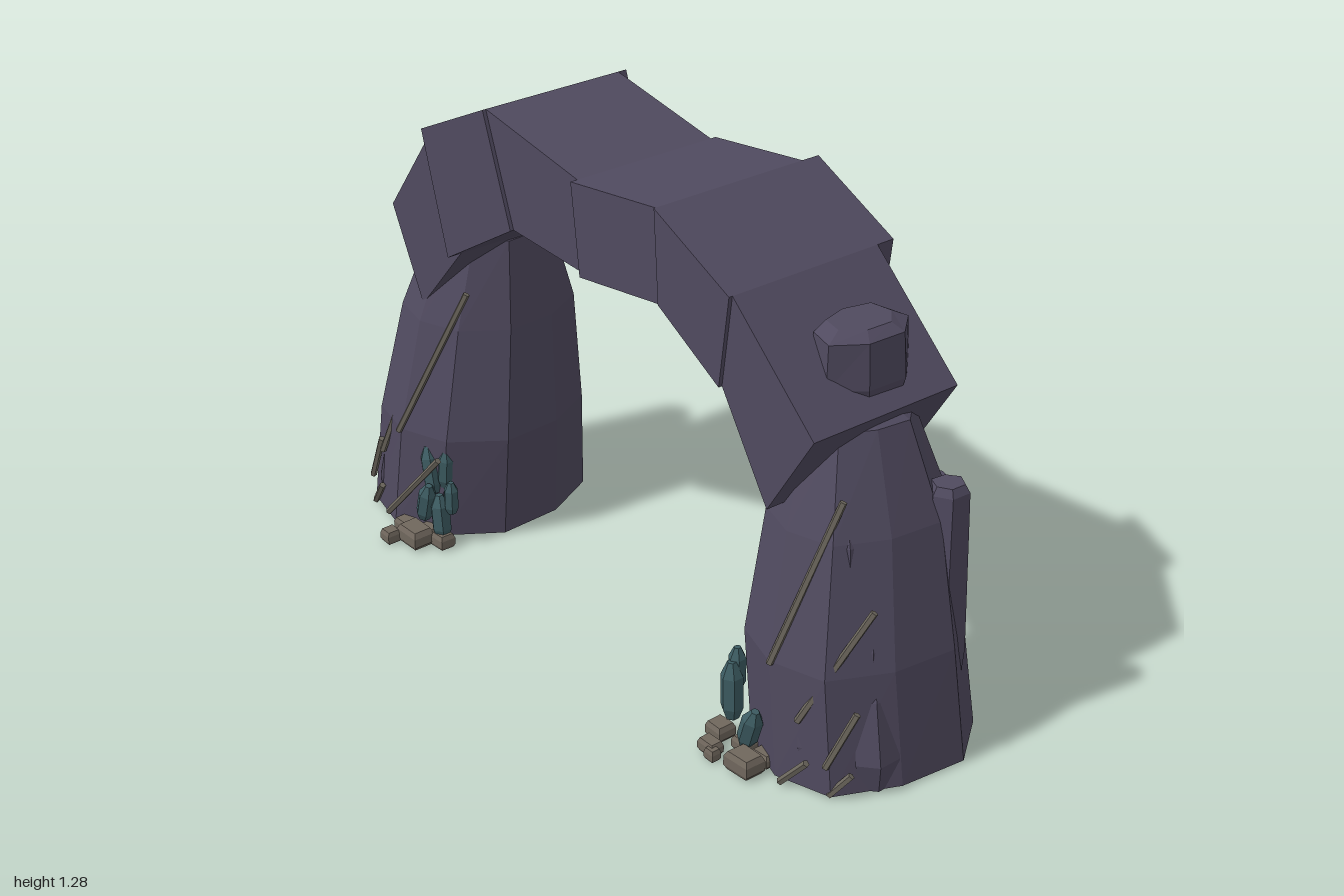
import * as THREE from 'three';

const mat = (name, color) => {
  const m = new THREE.MeshStandardMaterial({ color, flatShading: true });
  m.name = name;
  return m;
};

// Faceted column through rings [cx, y, cz, rx, rz], with rough radius per side
function loft(rings, sides, rough = 0, seed = 1) {
  const pos = [];
  const k = Array.from({ length: sides }, (_, i) => 1 - rough * (0.5 + 0.5 * Math.sin(seed + i * 2.4)));
  const pt = (r, i) => {
    const j = i % sides, a = ((j + 0.5) / sides) * Math.PI * 2;
    return [r[0] + Math.cos(a) * r[3] * k[j], r[1], r[2] + Math.sin(a) * r[4] * k[j]];
  };
  const first = rings[0], last = rings[rings.length - 1];
  for (let i = 0; i < sides; i++) {
    for (let n = 0; n < rings.length - 1; n++) {
      const a = pt(rings[n], i), b = pt(rings[n], i + 1);
      const c = pt(rings[n + 1], i), d = pt(rings[n + 1], i + 1);
      pos.push(...a, ...c, ...b, ...b, ...c, ...d);
    }
    pos.push(first[0], first[1], first[2], ...pt(first, i), ...pt(first, i + 1));
    pos.push(last[0], last[1], last[2], ...pt(last, i + 1), ...pt(last, i));
  }
  const g = new THREE.BufferGeometry();
  g.setAttribute('position', new THREE.Float32BufferAttribute(pos, 3));
  g.computeVertexNormals();
  return g;
}

export function createModel() {
  const root = new THREE.Group();
  root.name = 'rockArch';
  const stone = mat('darkStone', 0x504a5f);
  const tan = mat('veinTan', 0x6b665c);
  const pebble = mat('pebbleBrown', 0x70675d);
  const teal = mat('crystalTeal', 0x3d5c62);
  const add = (name, geo, m) => {
    const mesh = new THREE.Mesh(geo, m);
    mesh.name = name;
    root.add(mesh);
    return mesh;
  };

  // Arch: one block per span, each with its own depth
  const top = [[-0.83, 0.88], [-0.63, 1.155], [-0.37, 1.28], [-0.02, 1.21], [0.285, 1.245], [0.54, 1.12], [0.81, 0.87]];
  const low = [[-0.71, 0.64], [-0.535, 0.84], [-0.27, 1.0], [0.01, 0.98], [0.3, 1.015], [0.51, 0.89], [0.665, 0.645]];
  const depth = [[-0.28, 0.15], [-0.25, 0.19], [-0.225, 0.18], [-0.24, 0.2], [-0.29, 0.205], [-0.24, 0.195]];
  depth.forEach(([z0, z1], i) => {
    const s = new THREE.Shape([low[i], low[i + 1], top[i + 1], top[i]].map(p => new THREE.Vector2(...p)));
    add('archBlock', new THREE.ExtrudeGeometry(s, { depth: z1 - z0, bevelEnabled: false }).translate(0, 0, z0), stone);
  });

  // Pillars
  add('leftPillar', loft([
    [0.765, 0.01, -0.04, 0.245, 0.3], [0.73, 0.3, -0.03, 0.245, 0.285],
    [0.705, 0.6, -0.05, 0.2, 0.235], [0.675, 0.83, -0.05, 0.14, 0.15], [0.67, 0.86, -0.05, 0.09, 0.09]], 10, 0.08, 2), stone);
  add('rightPillar', loft([
    [-0.75, 0.01, -0.04, 0.25, 0.3], [-0.715, 0.3, -0.03, 0.245, 0.28],
    [-0.7, 0.6, -0.05, 0.205, 0.235], [-0.675, 0.83, -0.05, 0.145, 0.155], [-0.67, 0.87, -0.05, 0.09, 0.09]], 10, 0.08, 4), stone);

  // Spires poking through the shoulders of the arch
  add('leftShoulder', loft([
    [0.7, 0.82, -0.05, 0.07, 0.09], [0.7, 0.92, -0.05, 0.1, 0.14],
    [0.7, 1.03, -0.05, 0.09, 0.135], [0.69, 1.05, -0.05, 0.07, 0.09]], 7, 0.15, 1), stone);
  add('rightShoulder', loft([
    [-0.72, 0.82, -0.08, 0.07, 0.09], [-0.73, 0.95, -0.08, 0.09, 0.12],
    [-0.745, 1.04, -0.08, 0.06, 0.11], [-0.745, 1.055, -0.08, 0.045, 0.08]], 7, 0.15, 3), stone);

  // Slabs and ribs leaning on the pillars: [x, z, y0, y1, rx, rz, lean]
  const slabs = [
    [0.885, -0.15, 0.08, 0.68, 0.06, 0.065, -0.01], [0.83, 0.1, 0.28, 0.61, 0.055, 0.05, -0.02],
    [0.9, 0.08, 0.05, 0.37, 0.055, 0.06, -0.02], [0.93, 0.08, 0.01, 0.25, 0.055, 0.07, -0.03],
    [0.82, 0.17, 0.01, 0.34, 0.06, 0.06, -0.03], [0.76, -0.25, 0.01, 0.6, 0.07, 0.06, -0.03],
    [-0.88, -0.19, 0.01, 0.68, 0.07, 0.06, 0.01], [-0.91, -0.02, 0.33, 0.68, 0.035, 0.05, 0.01],
    [-0.82, 0.12, 0.18, 0.6, 0.05, 0.05, 0.03], [-0.93, 0.07, 0.01, 0.36, 0.055, 0.07, 0.03],
    [-0.85, 0.16, 0.01, 0.3, 0.06, 0.06, 0.03], [-0.76, -0.26, 0.01, 0.6, 0.07, 0.06, 0.03],
  ];
  slabs.forEach(([x, z, y0, y1, rx, rz, lean], i) => {
    const h = y1 - y0;
    add('rockSlab', loft([
      [x, y0, z, rx * 0.75, rz * 0.75], [x, y0 + h * 0.3, z, rx, rz],
      [x + lean, y1 - 0.02, z - 0.01, rx * 0.85, rz * 0.85], [x + lean, y1, z - 0.01, rx * 0.65, rz * 0.65]], 6, 0.15, i), stone);
  });

  // Thin veins running up the front faces
  const veins = [
    [[0.74, 0.3, 0.245], [0.82, 0.7, 0.11]], [[0.82, 0.18, 0.23], [0.93, 0.47, 0.11]],
    [[0.9, 0.09, 0.215], [0.94, 0.23, 0.16]], [[0.79, 0.01, 0.25], [0.86, 0.09, 0.235]], [[0.9, 0.01, 0.2], [0.94, 0.07, 0.17]],
    [[-0.71, 0.3, 0.245], [-0.56, 0.71, 0.12]], [[-0.88, 0.09, 0.22], [-0.83, 0.22, 0.22]],
    [[-0.82, 0.19, 0.225], [-0.78, 0.31, 0.205]], [[-0.76, 0.04, 0.255], [-0.57, 0.26, 0.22]],
    [[-0.88, 0.01, 0.215], [-0.83, 0.08, 0.225]],
  ];
  for (const [p, q] of veins) {
    const a = new THREE.Vector3(...p), b = new THREE.Vector3(...q);
    const dir = b.clone().sub(a);
    const v = add('vein', new THREE.CylinderGeometry(0.009, 0.009, dir.length(), 5), tan);
    v.position.copy(a).lerp(b, 0.5);
    v.quaternion.setFromUnitVectors(new THREE.Vector3(0, 1, 0), dir.normalize());
  }

  // Crystals: [x, y, z, height, radius, tilt]
  const crystals = [
    [-0.62, 0.14, 0.2, 0.13, 0.025, 0.2], [-0.6, 0.16, 0.18, 0.11, 0.022, -0.1],
    [-0.575, 0.03, 0.21, 0.12, 0.027, 0.1], [-0.63, 0.07, 0.23, 0.11, 0.025, -0.25], [-0.56, 0.1, 0.19, 0.09, 0.02, 0],
    [0.58, 0.06, 0.21, 0.15, 0.028, 0.03], [0.572, 0.13, 0.19, 0.11, 0.022, 0],
    [0.66, 0.04, 0.24, 0.11, 0.026, -0.3],
  ];
  for (const [x, y, z, h, r, tilt] of crystals) {
    const c = add('crystal', loft([
      [0, 0, 0, r * 0.6, r * 0.6], [0, h * 0.2, 0, r, r], [0, h * 0.75, 0, r, r], [0, h, 0, r * 0.4, r * 0.4]], 6), teal);
    c.position.set(x, y, z);
    c.rotation.z = tilt;
  }

  // Loose stones at the feet: [x, z, width, height, depth]
  const stones = [
    [-0.63, 0.26, 0.095, 0.045, 0.07], [-0.68, 0.305, 0.045, 0.03, 0.045], [-0.7, 0.24, 0.06, 0.03, 0.05],
    [-0.57, 0.215, 0.06, 0.035, 0.05], [-0.63, 0.205, 0.06, 0.03, 0.05],
    [0.56, 0.23, 0.06, 0.035, 0.055], [0.705, 0.28, 0.085, 0.045, 0.065], [0.595, 0.29, 0.06, 0.03, 0.04],
    [0.62, 0.305, 0.035, 0.025, 0.03], [0.64, 0.22, 0.06, 0.03, 0.05], [0.71, 0.22, 0.06, 0.03, 0.05],
  ];
  for (const [x, z, w, h, d] of stones) {
    const a = w * 0.68, b = d * 0.68;
    add('looseStone', loft([
      [x, 0.005, z, a * 0.8, b * 0.8], [x, 0.005 + h * 0.25, z, a, b],
      [x, 0.005 + h * 0.8, z, a, b], [x, 0.01 + h, z, a * 0.8, b * 0.8]], 4, 0.1, x * 20), pebble);
  }
  return root;
}
